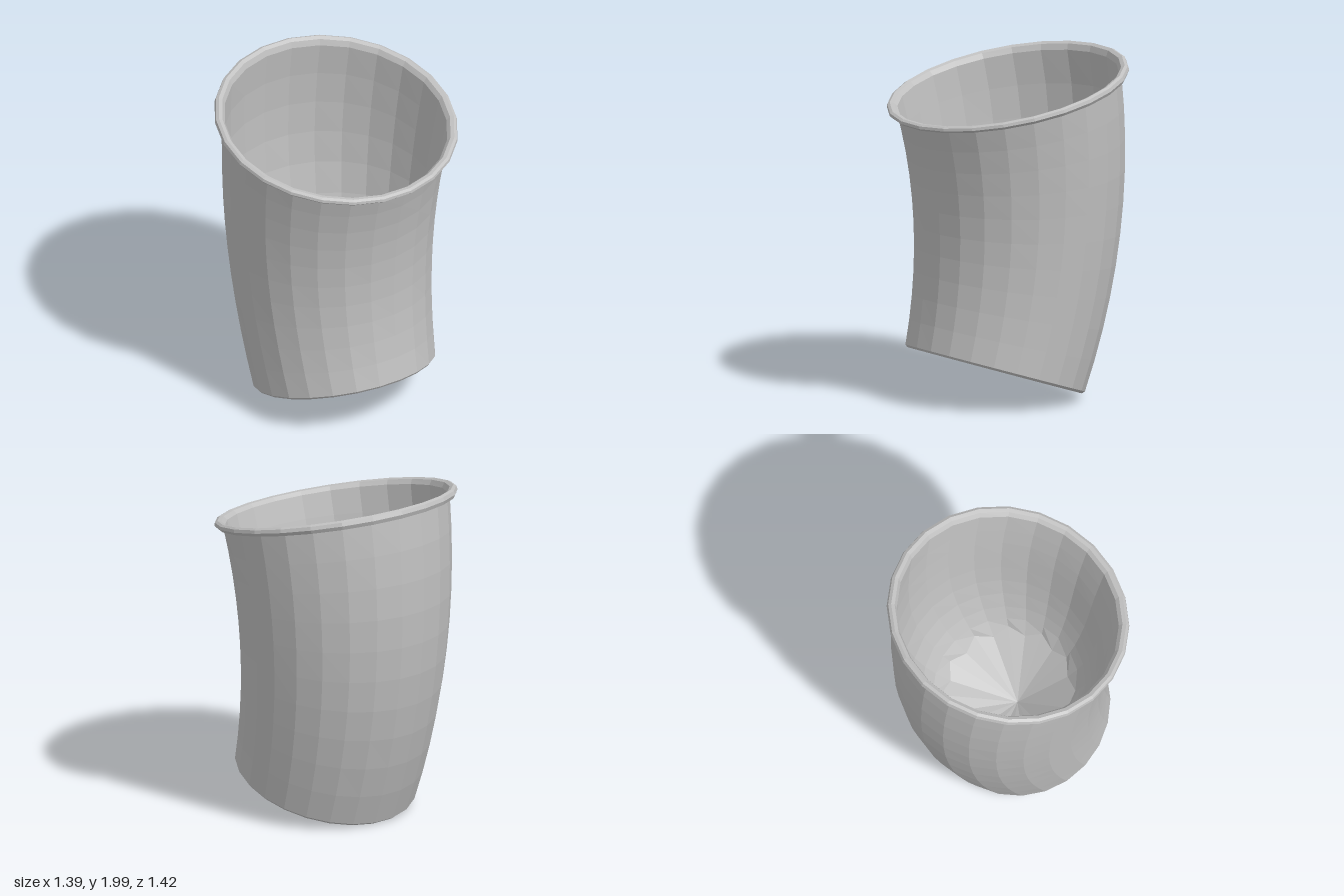
import * as THREE from 'three';

const SIDES = 24;
const metal = new THREE.MeshStandardMaterial({ color: 0xc0c0c0 });
metal.name = 'lightGrey';

// Bent centre line: its position and local frame at t (0 = base, 1 = rim)
function frame(t) {
  const H = 1.677;
  const origin = new THREE.Vector3(
    0.08 + 1.65 * (-0.31 * t + 0.26 * t * t),
    0.168 + H * t,
    0.037 + 1.65 * (-0.12 * t + 0.1 * t * t)
  );
  const n = new THREE.Vector3(-0.31 + 0.52 * t, 1, -0.12 + 0.2 * t).normalize();
  const u = new THREE.Vector3(1, 0, 0).addScaledVector(n, -n.x).normalize();
  const v = new THREE.Vector3().crossVectors(u, n);
  return { origin, u, v };
}

// Point on the bent body; a row is [t, radius, optional zigzag in radius, zigzag in t]
function point([t, r, zigR = 0, zigT = 0], j) {
  const sign = j % 2 === 0 ? 1 : -1;
  const { origin, u, v } = frame(t + zigT * sign);
  const a = (j / SIDES) * Math.PI * 2;
  const radius = r + zigR * sign;
  return origin.addScaledVector(u, radius * Math.cos(a)).addScaledVector(v, radius * Math.sin(a));
}

// Faceted surface swept around the bent centre line
function bentLathe(name, rows) {
  const pos = [];
  const tri = (...p) => p.forEach((q) => pos.push(q.x, q.y, q.z));
  for (let i = 0; i < rows.length - 1; i++) {
    for (let j = 0; j < SIDES; j++) {
      const k = (j + 1) % SIDES;
      const a = point(rows[i], j), b = point(rows[i + 1], j);
      const c = point(rows[i + 1], k), d = point(rows[i], k);
      if (rows[i + 1][1] > 0) tri(a, b, c);
      if (rows[i][1] > 0) tri(a, c, d);
    }
  }
  const geo = new THREE.BufferGeometry();
  geo.setAttribute('position', new THREE.Float32BufferAttribute(pos, 3));
  geo.computeVertexNormals();
  const mesh = new THREE.Mesh(geo, metal);
  mesh.name = name;
  return mesh;
}

export function createModel() {
  const group = new THREE.Group();
  group.name = 'bentCup';

  // Flat base with a small bevelled edge
  group.add(bentLathe('base', [[0, 0], [0, 0.522], [0.008, 0.536]]));

  // Outer wall, widening towards the rim
  const outer = [];
  for (let i = 0; i <= 10; i++) {
    const t = 0.008 + (0.972 - 0.008) * (i / 10);
    outer.push([t, 0.535 + 0.13 * t]);
  }
  group.add(bentLathe('outerWall', outer));

  // Rolled rim
  group.add(bentLathe('rim', [
    [0.972, 0.661], [0.973, 0.698], [0.984, 0.711], [0.995, 0.706],
    [1, 0.69], [0.996, 0.668], [0.98, 0.65],
  ]));

  // Inner wall, rounding in towards the floor
  const star = [0.2, 0.375, 0.02, 0.012];
  group.add(bentLathe('innerWall', [
    [0.98, 0.65], [0.88, 0.638], [0.78, 0.624], [0.68, 0.608], [0.58, 0.588],
    [0.48, 0.56], [0.39, 0.522], [0.31, 0.475], [0.25, 0.428], star,
  ]));

  // Pleated, sunken floor
  group.add(bentLathe('floor', [star, [0.05, 0]]));

  return group;
}
